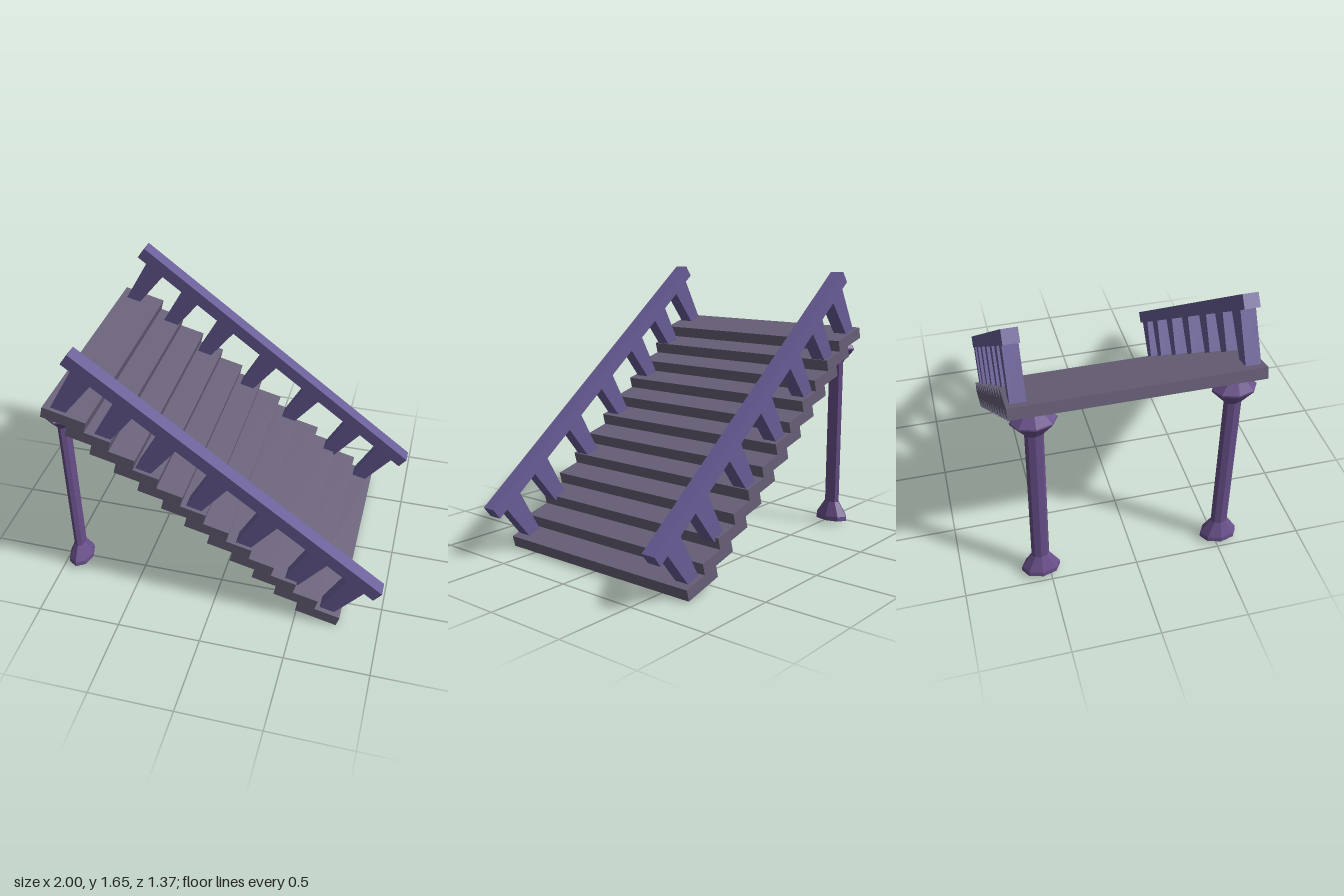
import * as THREE from 'three';

const material = (color) => new THREE.MeshStandardMaterial({ color, flatShading: true });

// Prism across z from an outline in the x-y plane
function prism(points, depth, mat, name) {
  const shape = new THREE.Shape(points.map(([x, y]) => new THREE.Vector2(x, y)));
  const geometry = new THREE.ExtrudeGeometry(shape, { depth, bevelEnabled: false });
  geometry.translate(0, 0, -depth / 2);
  const mesh = new THREE.Mesh(geometry, mat);
  mesh.name = name;
  return mesh;
}

export function createModel() {
  const model = new THREE.Group();
  model.name = 'staircase';
  const stepMat = material(0x686078);
  const railMat = material(0x685d96);
  const columnMat = material(0x69508a);

  // Treads: identical tilted slabs, each resting on the one below
  const tilt = -0.252;
  const steps = new THREE.Group();
  steps.name = 'steps';
  const treadGeometry = new THREE.BoxGeometry(0.257, 0.069, 1.374);
  for (let i = 0; i < 12; i++) {
    const tread = new THREE.Mesh(treadGeometry, stepMat);
    tread.name = 'tread';
    tread.position.set(-0.835 + i * 0.1337, 1.233 - i * 0.1059, 0);
    tread.rotation.z = tilt;
    steps.add(tread);
  }
  model.add(steps);

  // Railings: sloping beam with seven leaning, tapered posts
  const underside = (x) => 1.588 - (x + 0.818) * 0.759;
  const postTops = [-0.711, -0.487, -0.251, 0.037, 0.326, 0.62, 0.845];
  for (const side of [1, -1]) {
    const railing = new THREE.Group();
    railing.name = side > 0 ? 'frontRailing' : 'backRailing';
    railing.add(prism(
      [[-0.818, 1.588], [0.95, 0.246], [0.997, 0.308], [-0.77, 1.651]], 0.087, railMat, 'handrail'));
    for (const x of postTops) {
      const y = underside(x);
      railing.add(prism([
        [x - 0.2, y - 0.217], [x - 0.113, y - 0.239],
        [x + 0.052, underside(x + 0.052) + 0.005], [x - 0.052, underside(x - 0.052) + 0.005],
      ], 0.086, railMat, 'post'));
    }
    railing.position.z = side * 0.621;
    model.add(railing);
  }

  // Support columns: eight-sided, flared at both ends, deeper than wide
  const profile = [
    [0, 0.027], [0.075, 0.027], [0.073, 0.055], [0.034, 0.145],
    [0.034, 1.075], [0.083, 1.158], [0.083, 1.168], [0.038, 1.235], [0, 1.235],
  ].map(([r, y]) => new THREE.Vector2(r, y));
  const columnGeometry = new THREE.LatheGeometry(profile, 8);
  columnGeometry.scale(1, 1, 1.5);
  for (const z of [0.525, -0.55]) {
    const column = new THREE.Mesh(columnGeometry, columnMat);
    column.name = 'supportColumn';
    column.position.set(-0.915, 0, z);
    model.add(column);
  }
  return model;
}
